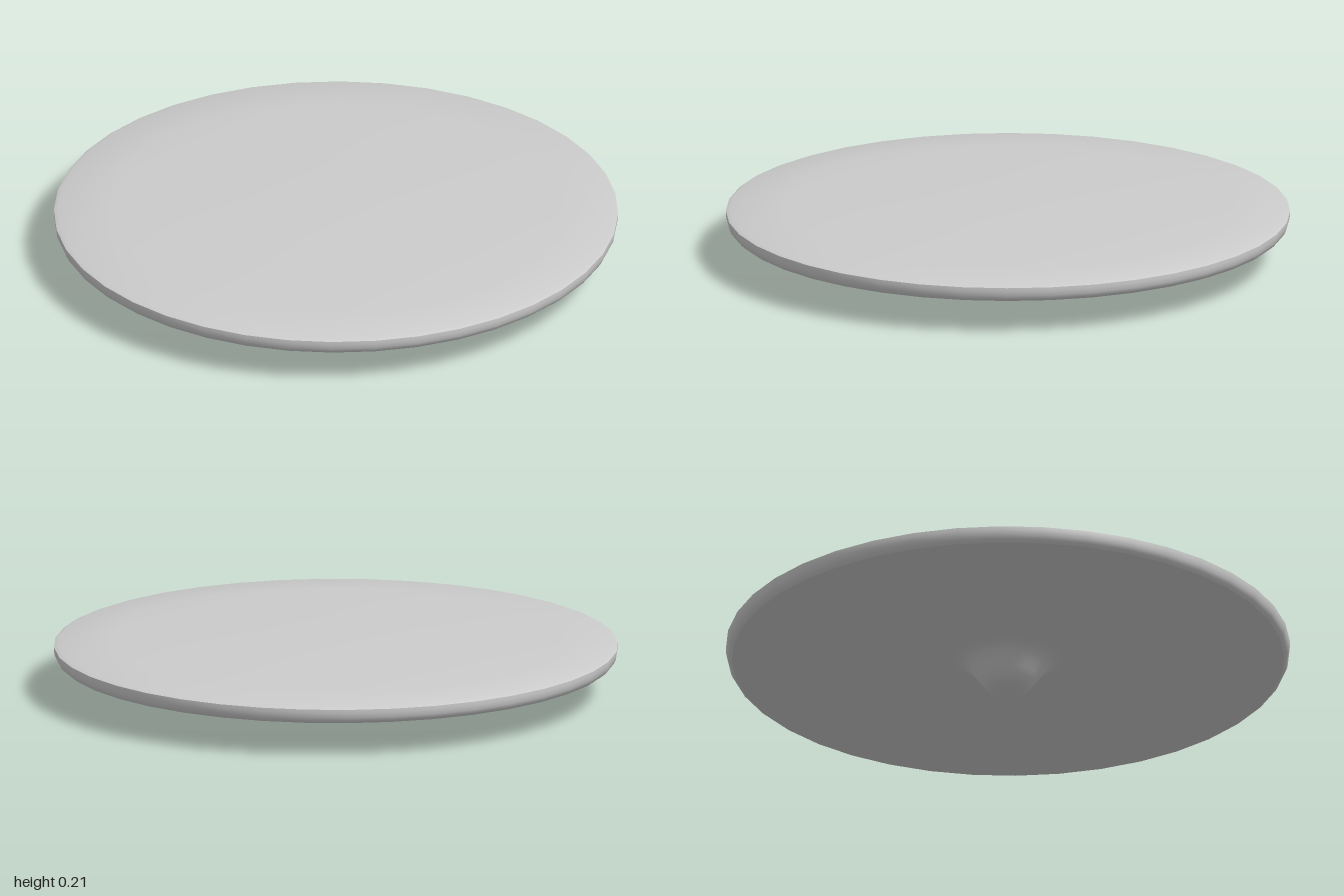
import * as THREE from 'three';
import { toCreasedNormals } from 'three/addons/utils/BufferGeometryUtils.js';

const SIDES = 40;

// Turned part from a profile of [radius, height], listed from bottom to top
function turned(name, profile) {
  const points = profile.map(([r, y]) => new THREE.Vector2(r, y));
  const geometry = toCreasedNormals(new THREE.LatheGeometry(points, SIDES), 0.6);
  const mesh = new THREE.Mesh(geometry, new THREE.MeshStandardMaterial({ color: 0xcccccc }));
  mesh.name = name;
  return mesh;
}

export function createModel() {
  const group = new THREE.Group();
  group.name = 'knobbedDisc';

  // Knob under the centre: rounded tip flaring smoothly into the underside
  group.add(turned('knob', [
    [0, 0], [0.03, 0.001], [0.055, 0.005], [0.075, 0.014], [0.092, 0.03],
    [0.108, 0.052], [0.125, 0.077], [0.143, 0.099], [0.165, 0.115], [0.195, 0.123], [0.24, 0.125],
  ]));

  // Plate: flat underside, slightly bulging rim and shallow domed top
  group.add(turned('plate', [
    [0.24, 0.125], [0.979, 0.125], [0.99, 0.134], [0.997, 0.148], [1, 0.165], [1, 0.178],
    [0.985, 0.184], [0.8, 0.194], [0.6, 0.202], [0.3, 0.21], [0, 0.214],
  ]));

  return group;
}
